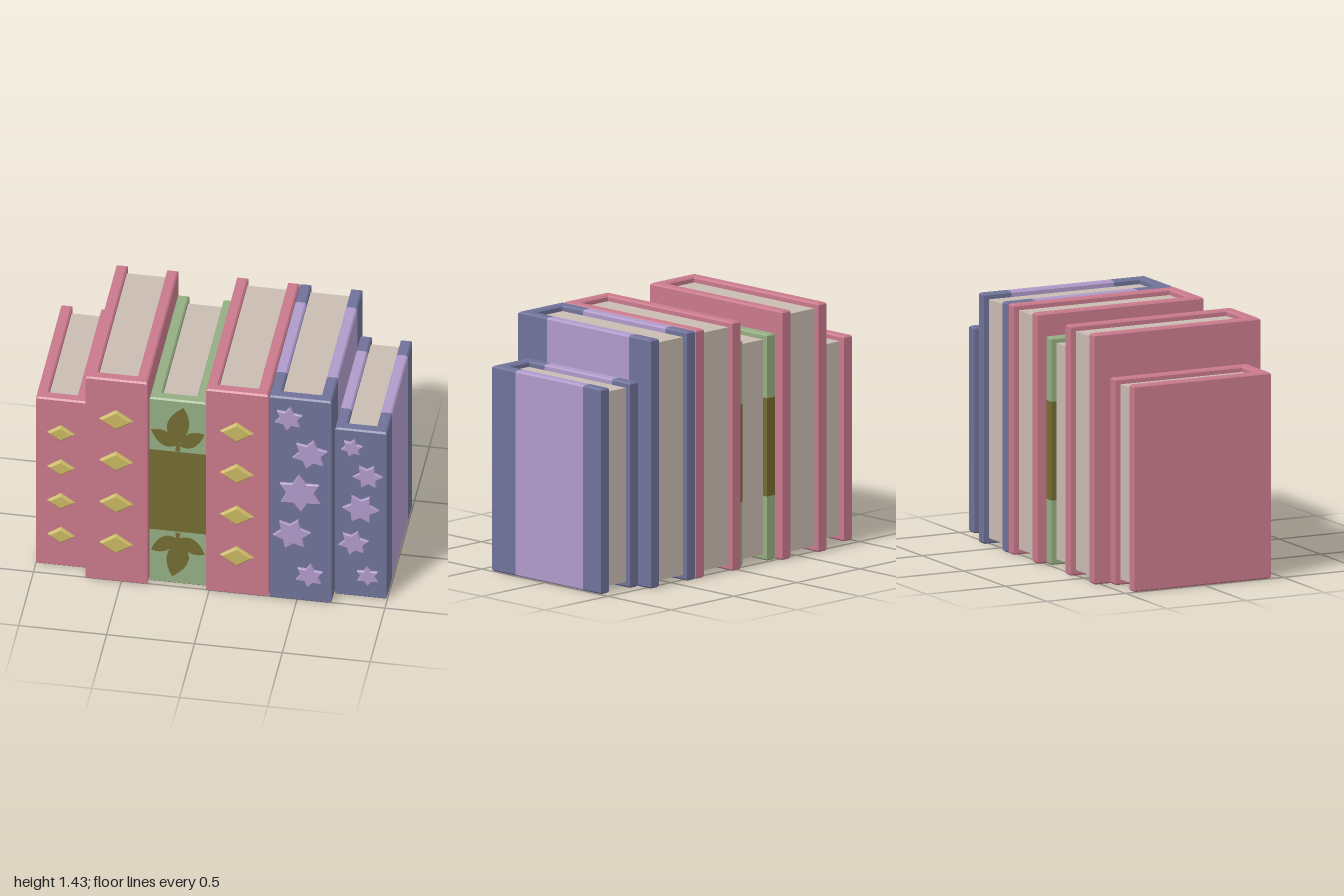
import * as THREE from 'three';

const mat = (name, color) => {
  const m = new THREE.MeshStandardMaterial({ color });
  m.name = name;
  return m;
};

// Keep the part of every triangle where sign * (coordinate - value) >= 0
function clip(geometry, axis, value, sign) {
  const p = geometry.attributes.position, out = [];
  for (let i = 0; i < p.count; i += 3) {
    const tri = [0, 1, 2].map(k => new THREE.Vector3().fromBufferAttribute(p, i + k));
    const poly = [];
    tri.forEach((a, k) => {
      const b = tri[(k + 1) % 3];
      const da = sign * (a[axis] - value), db = sign * (b[axis] - value);
      if (da >= 0) poly.push(a);
      if (da * db < 0) poly.push(a.clone().lerp(b, da / (da - db)));
    });
    for (let k = 1; k + 1 < poly.length; k++)
      for (const v of [poly[0], poly[k], poly[k + 1]]) out.push(v.x, v.y, v.z);
  }
  const g = new THREE.BufferGeometry();
  g.setAttribute('position', new THREE.Float32BufferAttribute(out, 3));
  g.computeVertexNormals();
  return g;
}

// Extrusion with a chamfer that stays inside the outline; spans z = 0..depth
function chamfered(shape, depth, bevel) {
  const g = new THREE.ExtrudeGeometry(shape, {
    depth: depth - 2 * bevel, bevelEnabled: true, bevelSegments: 1,
    bevelThickness: bevel, bevelSize: bevel, bevelOffset: -bevel, curveSegments: 1,
  });
  return g.translate(0, 0, bevel);
}

// Regular star or polygon outline
function starShape(points, outer, inner, turn) {
  const pts = [];
  for (let i = 0; i < points * 2; i++) {
    const r = i % 2 ? inner : outer, a = turn + (i * Math.PI) / points;
    pts.push(new THREE.Vector2(r * Math.cos(a), r * Math.sin(a)));
  }
  return new THREE.Shape(pts);
}

// Pointed leaf from base to tip with one bulge point on each side
function leafShape(base, right, tip, left) {
  const s = new THREE.Shape();
  s.moveTo(...base);
  s.quadraticCurveTo(...right, ...tip);
  s.quadraticCurveTo(...left, ...base);
  return s;
}

export function createModel() {
  const pink = mat('pink cover', 0xc97a8c), blue = mat('blue cover', 0x6f7298);
  const green = mat('green cover', 0x94ad82), olive = mat('olive decoration', 0x736b31);
  const lilac = mat('lilac decoration', 0xb09aca), gold = mat('gold studs', 0xc9b762);
  const paper = mat('paper', 0xc9bbb2);
  const model = new THREE.Group();
  model.name = 'bookRow';

  const add = (parent, name, geometry, material, x = 0, y = 0, z = 0) => {
    const m = new THREE.Mesh(geometry, material);
    m.name = name;
    m.position.set(x, y, z);
    parent.add(m);
    return m;
  };

  // One book: U-shaped cover around a recessed page block; band = [axis, low, high, material]
  function book(name, x0, x1, h, front, back, material, band) {
    const g = new THREE.Group();
    g.name = name;
    model.add(g);
    const t = 0.064, lip = 0.032;
    const outline = [[x0, -front], [x1, -front], [x1, -back], [x1 - t, -back],
      [x1 - t, t - front], [x0 + t, t - front], [x0 + t, -back], [x0, -back]];
    const cover = chamfered(new THREE.Shape(outline.map(p => new THREE.Vector2(...p))), h, 0.009);
    cover.rotateX(-Math.PI / 2);
    if (band) {
      const [axis, lo, hi, bandMaterial] = band;
      add(g, 'coverLowEnd', clip(cover, axis, lo, -1), material);
      add(g, 'coverBand', clip(clip(cover, axis, lo, 1), axis, hi, -1), bandMaterial);
      add(g, 'coverHighEnd', clip(cover, axis, hi, 1), material);
    } else add(g, 'cover', cover, material);
    const pz0 = back + lip, pz1 = front - t + 0.005;
    add(g, 'pages', new THREE.BoxGeometry(x1 - x0 - 2 * t + 0.006, h - 2 * lip, pz1 - pz0),
      paper, (x0 + x1) / 2, h / 2, (pz0 + pz1) / 2);
    return g;
  }

  // Gold diamond studs down a spine
  function studs(g, x, ys, r, z) {
    for (const y of ys) {
      add(g, 'diamondStud', chamfered(starShape(2, r, r * Math.SQRT1_2 * Math.SQRT1_2 * Math.SQRT2, 0), 0.03, 0.012), gold, x, y, z - 0.005);
    }
  }

  // Raised six-pointed stars: [x, y, radius, turn in degrees]
  function stars(g, list, z) {
    for (const [x, y, r, turn] of list)
      add(g, 'star', chamfered(starShape(6, r, r * 0.6, THREE.MathUtils.degToRad(turn)), 0.02, 0.004),
        lilac, x, y, z - 0.004);
  }

  const big = [1.43, 0.512, -0.538], small = [1.18, 0.422, -0.442];

  // Pink books
  const pinkSmall = book('smallPinkBook', -1, -0.708, ...small, pink);
  const pinkA = book('largePinkBookOuter', -0.702, -0.35, ...big, pink);
  const pinkB = book('largePinkBookInner', -0.016, 0.338, ...big, pink);
  diamonds(pinkSmall, -0.855, [0.23, 0.47, 0.71, 0.952], 0.078, 0.422);
  diamonds(pinkA, -0.526, [0.28, 0.568, 0.864, 1.157], 0.096, 0.512);
  diamonds(pinkB, 0.161, [0.28, 0.568, 0.864, 1.157], 0.096, 0.512);
  function diamonds(...args) { studs(...args); }

  // Green book with an olive band and two leaf sprigs
  const greenBook = book('greenBook', -0.344, -0.02, 1.3, 0.473, -0.487, green, ['y', 0.37, 0.935, olive]);
  const sprig = [
    leafShape([0, 0.045], [0.11, 0.17], [0.031, 0.31], [-0.14, 0.18]),
    leafShape([0.005, 0.04], [0.1, -0.01], [0.152, 0.135], [0.045, 0.17]),
    leafShape([-0.005, 0.04], [-0.045, 0.17], [-0.152, 0.135], [-0.1, -0.01]),
    new THREE.Shape([[-0.014, 0], [0.014, 0], [0.005, 0.07], [-0.005, 0.07]].map(p => new THREE.Vector2(...p))),
  ];
  for (const [y, turn] of [[0.942, 0], [0.362, Math.PI]]) {
    const geometry = new THREE.ExtrudeGeometry(sprig, { depth: 0.005, bevelEnabled: false, curveSegments: 8 });
    add(greenBook, 'leafSprig', geometry, olive, -0.183, y, 0.472).rotation.z = turn;
  }

  // Blue books with lilac stripes on the boards
  const blueBig = book('largeBlueBook', 0.344, 0.697, ...big, blue, ['z', -0.365, 0.285, lilac]);
  const blueSmall = book('smallBlueBook', 0.703, 0.996, ...small, blue, ['z', -0.3, 0.235, lilac]);
  stars(blueBig, [[0.455, 1.288, 0.084, 22], [0.577, 1.05, 0.105, 18], [0.52, 0.768, 0.13, 33],
    [0.473, 0.475, 0.11, 10], [0.573, 0.19, 0.083, 24]], 0.512);
  stars(blueSmall, [[0.8, 1.057, 0.064, 15], [0.89, 0.863, 0.085, 5], [0.85, 0.63, 0.104, 0],
    [0.81, 0.385, 0.088, 14], [0.889, 0.158, 0.068, 32]], 0.422);

  return model;
}
